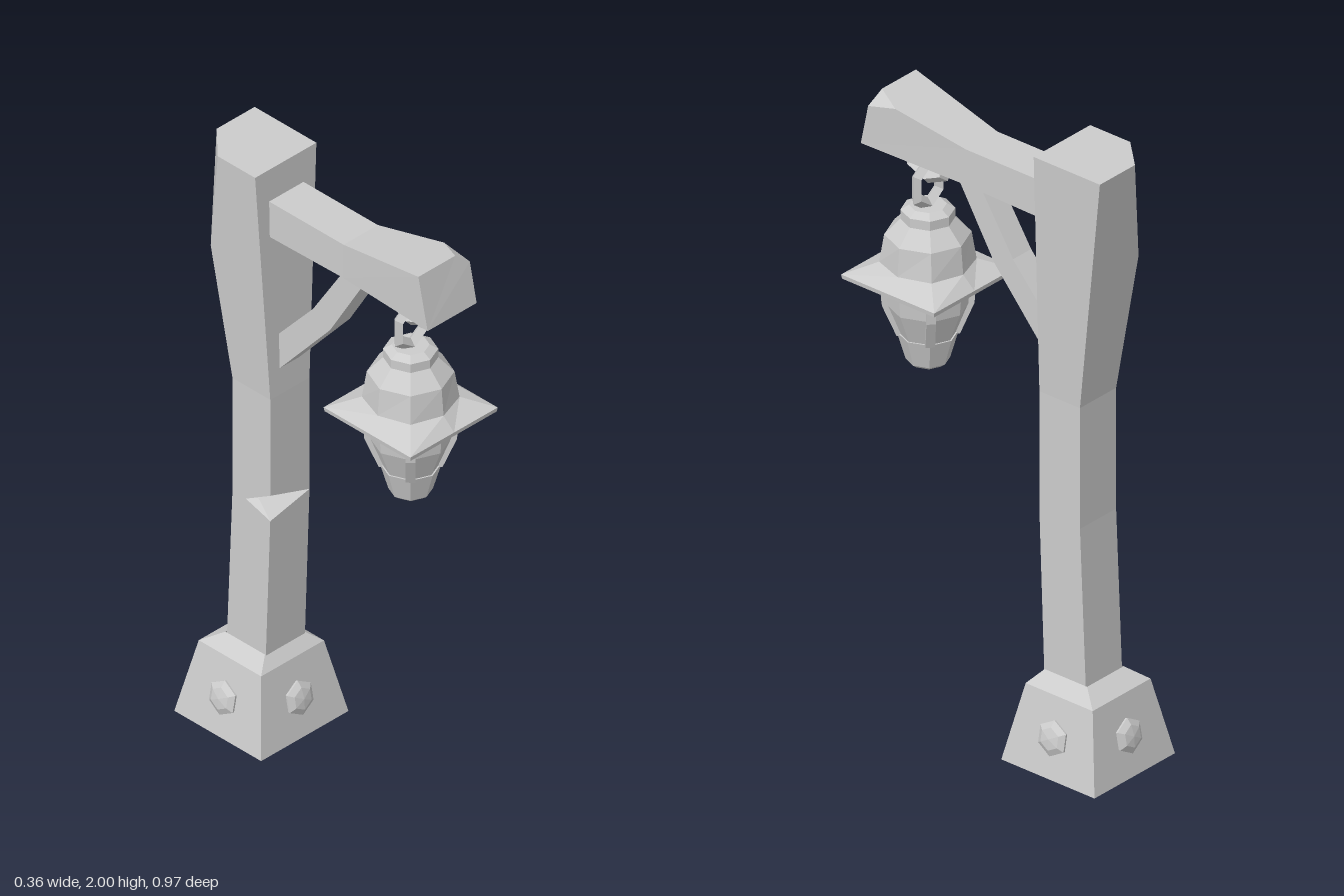
import * as THREE from 'three';

const grey = new THREE.MeshStandardMaterial({ color: 0xcccccc, flatShading: true });
const greyThin = new THREE.MeshStandardMaterial({ color: 0xcccccc, flatShading: true, side: THREE.DoubleSide });

function mesh(name, geometry, material = grey) {
  const m = new THREE.Mesh(geometry, material);
  m.name = name;
  return m;
}

// Flat-faced solid from corners [x, y, z] and polygons, each fanned from its first corner
function solid(corners, polygons) {
  const pos = [];
  for (const p of polygons)
    for (let i = 1; i < p.length - 1; i++)
      pos.push(...corners[p[0]], ...corners[p[i]], ...corners[p[i + 1]]);
  const g = new THREE.BufferGeometry();
  g.setAttribute('position', new THREE.Float32BufferAttribute(pos, 3));
  g.computeVertexNormals();
  return g;
}

// Skin between stacked rings, listed from bottom to top
function loft(rings, capped = true) {
  const n = rings[0].length, faces = [];
  for (let r = 0; r < rings.length - 1; r++)
    for (let i = 0; i < n; i++) {
      const j = (i + 1) % n, a = r * n, b = a + n;
      faces.push([a + i, a + j, b + j, b + i]);
    }
  if (capped) {
    const ids = rings[0].map((_, i) => i);
    faces.push([...ids].reverse(), ids.map(i => i + (rings.length - 1) * n));
  }
  return solid(rings.flat(), faces);
}

// Eight-point ring: r on the axes, d is the x and z of the diagonal corners
function ring8(y, r, d = r * Math.SQRT1_2) {
  return [[r, y, 0], [d, y, -d], [0, y, -r], [-d, y, -d], [-r, y, 0], [-d, y, d], [0, y, r], [d, y, d]];
}

// Side profile of [z, y] points, given thickness along x
function slab(points, width) {
  const shape = new THREE.Shape(points.map(p => new THREE.Vector2(...p)));
  const g = new THREE.ExtrudeGeometry(shape, { depth: width, bevelEnabled: false });
  return g.translate(0, 0, -width / 2).rotateY(-Math.PI / 2);
}

// Bent post, with a notch in the front and one chipped top corner
function makePost() {
  const corners = [
    [-.08, .1, -.375], [.08, .1, -.375], [.08, .1, -.215], [-.08, .1, -.215],
    [-.08, .8, -.345], [.08, .8, -.345], [.08, .805, -.19],
    [-.08, 1.2, -.345], [.08, 1.2, -.345], [.08, 1.2, -.19], [-.08, 1.2, -.19],
    [.125, 2, -.46], [.125, 2, -.207], [-.125, 2, -.207],
    [-.03, 2, -.46], [-.125, 2, -.36], [-.105, 1.65, -.409],
    [-.08, .86, -.19], [-.08, .77, -.19], [-.055, .81, -.27], [-.08, .8, -.29],
  ];
  return mesh('post', solid(corners, [
    [0, 1, 2, 3], [13, 12, 11, 14, 15], [16, 15, 14],
    [3, 2, 6, 18], [17, 6, 9, 10], [10, 9, 12, 13],
    [2, 1, 5, 6], [6, 5, 8, 9], [9, 8, 11, 12],
    [1, 0, 4, 5], [5, 4, 7, 8], [8, 7, 16, 14, 11],
    [4, 0, 3, 18, 20], [4, 20, 17, 10, 7], [7, 10, 13, 15, 16],
    [18, 6, 19, 20], [17, 20, 19, 6],
  ]));
}

// Arm that widens toward its front end, with one chipped corner
function makeArm() {
  const corners = [
    [-.07, 1.765, -.25], [.07, 1.765, -.25], [.07, 1.89, -.25], [-.07, 1.89, -.25],
    [-.07, 1.772, .1], [.07, 1.772, .1], [.07, 1.89, .1], [-.07, 1.89, .1],
    [-.1, 1.787, .475], [.1, 1.787, .475], [.1, 1.92, .447], [.05, 1.96, .437],
    [-.1, 1.96, .437], [.092, 1.942, .35],
  ];
  return mesh('arm', solid(corners, [
    [0, 1, 5, 4], [4, 5, 9, 8], [7, 6, 2, 3], [12, 11, 13, 6, 7],
    [5, 1, 2, 6], [9, 5, 6, 13, 10], [0, 4, 7, 3], [4, 8, 12, 7],
    [8, 9, 10, 11, 12], [10, 13, 11], [3, 2, 1, 0],
  ]));
}

// Hollow metal foot with a bolt on each side
function makeFoot() {
  const foot = new THREE.Group();
  foot.name = 'foot';
  const square = (y, h, z) => [[h, y, z + h], [h, y, z - h], [-h, y, z - h], [-h, y, z + h]];
  foot.add(mesh('footShell', loft([square(0, .178, 0), square(.25, .128, 0), square(.288, .081, .015)], false), greyThin));
  const profile = [[0, -.03], [.05, -.03], [.056, .008], [.036, .02], [0, .025]];
  const boltShape = new THREE.LatheGeometry(profile.map(p => new THREE.Vector2(...p)), 6);
  boltShape.rotateX(Math.PI / 2 - .2).translate(0, .125, .152);
  for (let i = 0; i < 4; i++) {
    const bolt = mesh('bolt', boltShape);
    bolt.rotation.y = i * Math.PI / 2;
    foot.add(bolt);
  }
  foot.position.z = -.307;
  return foot;
}

// Hanging lantern with a square brim on an eight-sided roof
function makeLantern() {
  const lantern = new THREE.Group();
  lantern.name = 'lantern';
  lantern.add(
    mesh('lanternRoof', loft([
      ring8(1.375, .12), ring8(1.368, .176, .176), ring8(1.382, .178, .178),
      ring8(1.42, .135, .1), ring8(1.51, .127), ring8(1.565, .075),
    ])),
    mesh('lanternCollar', loft([ring8(1.56, .08), ring8(1.59, .08), ring8(1.605, .055)])),
    mesh('lanternGlass', loft([ring8(1.18, .083), ring8(1.28, .122), ring8(1.375, .13)])),
    mesh('lanternCup', loft([ring8(1.085, .05), ring8(1.097, .065), ring8(1.185, .09)])),
  );
  const barShape = slab([[.07, 1.18], [.092, 1.18], [.134, 1.28], [.142, 1.375], [.1, 1.375], [.1, 1.28]], .028);
  for (let i = 0; i < 4; i++) {
    const bar = mesh('lanternBar', barShape);
    bar.rotation.y = Math.PI / 4 + i * Math.PI / 2;
    lantern.add(bar);
  }

  // Ring on the lantern, linked through a staple under the arm
  const ring = mesh('hangingRing', new THREE.TorusGeometry(.056, .018, 4, 6).rotateZ(Math.PI / 2));
  ring.scale.y = 1.25;
  ring.position.y = 1.675;
  const staple = mesh('staple', new THREE.TorusGeometry(.087, .02, 4, 4, Math.PI).rotateZ(Math.PI).rotateY(Math.PI / 2));
  staple.scale.y = 1.08;
  staple.position.y = 1.79;
  lantern.add(ring, staple);
  lantern.position.z = .305;
  return lantern;
}

export function createModel() {
  const model = new THREE.Group();
  model.name = 'lampPost';
  const brace = mesh('brace', slab([
    [.08, 1.78], [-.055, 1.57], [-.21, 1.395], [-.21, 1.27], [.015, 1.53], [.165, 1.78],
  ], .08));
  model.add(makePost(), makeArm(), brace, makeFoot(), makeLantern());
  return model;
}
